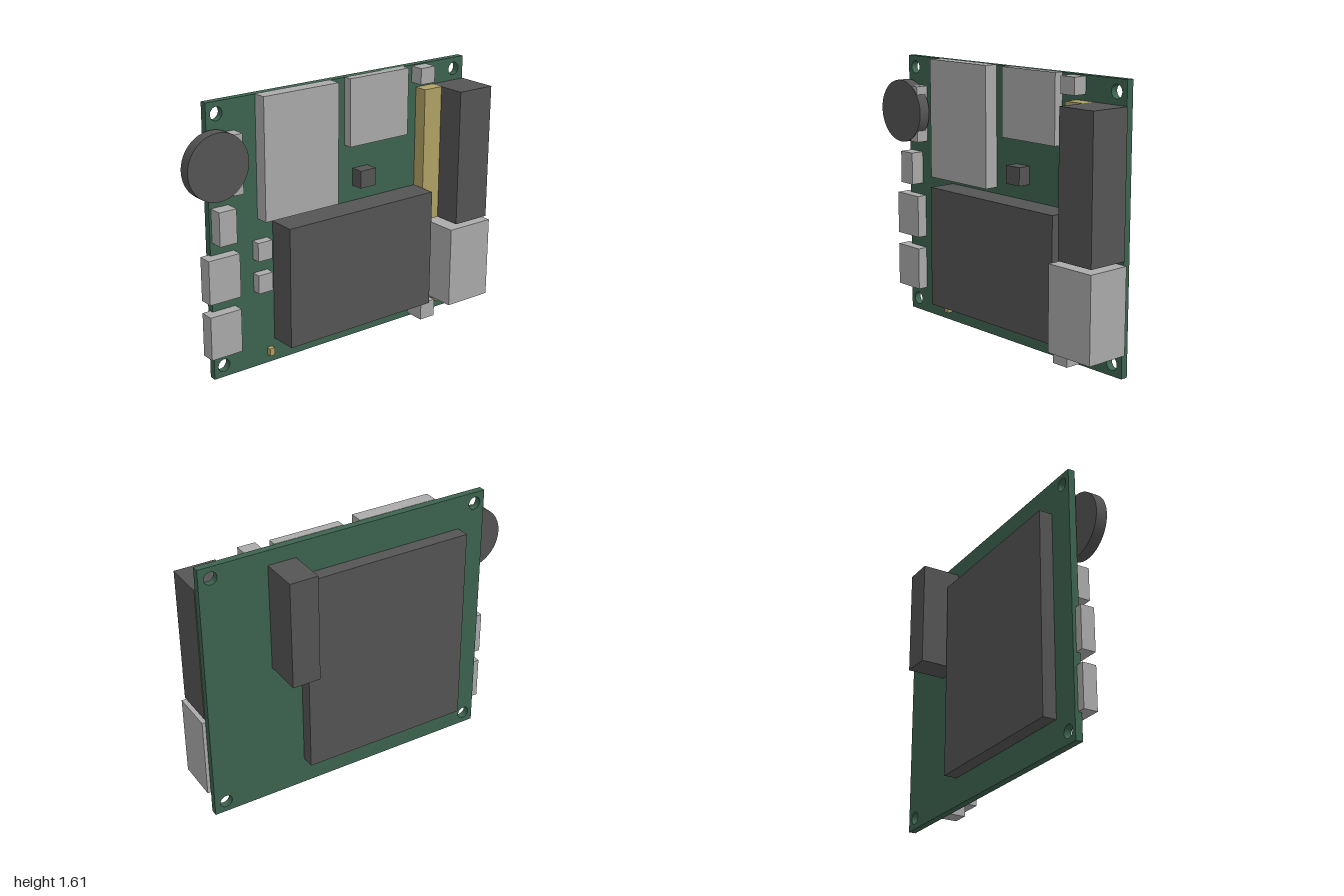
import * as THREE from 'three';

const mat = (name, color) => {
  const m = new THREE.MeshStandardMaterial({ color });
  m.name = name;
  return m;
};

export function createModel() {
  const group = new THREE.Group();
  const green = mat('board green', 0x3d6450);
  const silver = mat('metal grey', 0xababab);
  const dark = mat('dark plastic', 0x555555);
  const gold = mat('gold', 0xb0a265);

  const FRONT = 0.008, BACK = -0.035; // faces of the circuit board

  const add = (name, geometry, material) => {
    const mesh = new THREE.Mesh(geometry, material);
    mesh.name = name;
    group.add(mesh);
    return mesh;
  };

  // Box given by its limits on each axis
  const box = (name, material, x0, x1, y0, y1, z1, z0 = FRONT) =>
    add(name, new THREE.BoxGeometry(x1 - x0, y1 - y0, z1 - z0), material)
      .position.set((x0 + x1) / 2, (y0 + y1) / 2, (z0 + z1) / 2);

  // Circuit board with four mounting holes
  const outline = new THREE.Shape();
  outline.moveTo(-0.83, 0).lineTo(0.98, 0).lineTo(0.98, 1.603).lineTo(-0.83, 1.603).closePath();
  for (const x of [-0.765, 0.907]) {
    for (const y of [0.07, 1.535]) {
      outline.holes.push(new THREE.Path().absarc(x, y, 0.038, 0, Math.PI * 2, true));
    }
  }
  add('circuitBoard', new THREE.ExtrudeGeometry(outline, {
    depth: FRONT - BACK, bevelEnabled: false, curveSegments: 24,
  }), green).position.z = BACK;

  // Front: chips and connectors
  box('processorModule', dark, -0.42, 0.615, 0.14, 0.86, 0.176);
  box('smallChip', dark, 0.145, 0.255, 0.953, 1.058, 0.085);
  box('largeCardSlot', silver, -0.52, -0.02, 0.897, 1.605, 0.091);
  box('smallCardSlot', silver, 0.085, 0.51, 1.207, 1.605, 0.062);
  box('topSocket', silver, 0.58, 0.685, 1.5, 1.597, 0.092);
  box('headerPins', gold, 0.615, 0.742, 0.65, 1.465, 0.09);
  box('headerHousing', dark, 0.742, 0.985, 0.65, 1.465, 0.257);
  box('networkSocket', silver, 0.69, 1.0, 0.138, 0.628, 0.273);
  box('bottomSocket', silver, 0.587, 0.695, 0.02, 0.128, 0.134);

  // Ports along the side edge
  for (const y of [0.158, 0.49]) box('edgePort', silver, -0.88, -0.68, y, y + 0.258, 0.07, -0.015);
  box('sideSocket', silver, -0.817, -0.707, 0.822, 1.018, 0.09);
  for (const y of [0.47, 0.663]) box('pushButton', silver, -0.555, -0.46, y, y + 0.11, 0.062);

  // Indicator lights
  box('indicatorLight', gold, -0.472, -0.438, 0.05, 0.095, 0.038);
  box('indicatorLight', gold, 0.79, 0.827, 0.055, 0.1, 0.038);

  // Coin battery and its holder
  box('batteryHolder', silver, -0.72, -0.656, 1.09, 1.428, 0.087);
  const coin = add('coinBattery', new THREE.CylinderGeometry(0.19, 0.19, 0.068, 64), dark);
  coin.rotation.x = Math.PI / 2;
  coin.position.set(-0.81, 1.268, 0.057);

  // Back: wide module and tall connector
  box('backModule', dark, -0.66, 0.39, 0.17, 1.4, BACK, -0.117);
  box('backConnector', dark, 0.405, 0.575, 0.873, 1.515, BACK, -0.272);

  return group;
}
